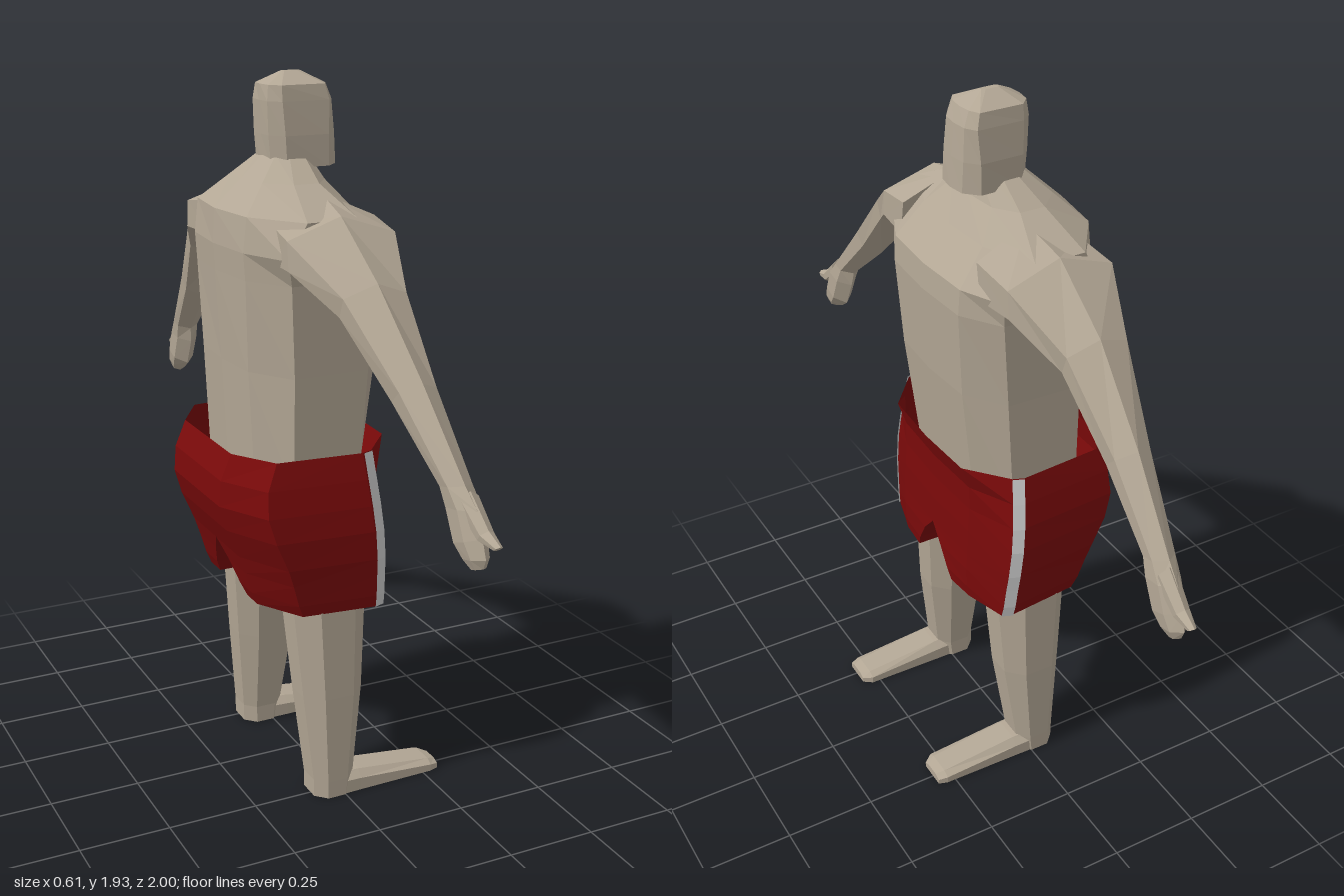
import * as THREE from 'three';

const material = (color) =>
  new THREE.MeshStandardMaterial({ color, flatShading: true, side: THREE.DoubleSide });

// Skins a list of equal-length rings of [x, y, z]; s = -1 mirrors across z.
function loft(name, rings, mat, { closed = true, caps = true, s = 1 } = {}) {
  const n = rings[0].length;
  const pos = rings.flat().flatMap(([x, y, z]) => [x, y, z * s]);
  let tris = [];
  for (let r = 0; r < rings.length - 1; r++) {
    for (let i = 0; i < (closed ? n : n - 1); i++) {
      const a = r * n + i, b = r * n + (i + 1) % n;
      tris.push([a, b, b + n], [a, b + n, a + n]);
    }
  }
  if (closed && caps) {
    const last = (rings.length - 1) * n;
    for (let i = 1; i < n - 1; i++) tris.push([0, i + 1, i], [last, last + i, last + i + 1]);
  }
  // Turn the faces outward by the sign of the enclosed volume about the centre.
  const p = (i) => new THREE.Vector3(pos[3 * i], pos[3 * i + 1], pos[3 * i + 2]);
  const mid = new THREE.Vector3();
  for (let i = 0; i < pos.length / 3; i++) mid.add(p(i));
  mid.multiplyScalar(3 / pos.length);
  if (!closed) mid.set(-0.05, mid.y, 0);
  let volume = 0;
  for (const [a, b, c] of tris) volume += p(a).sub(mid).dot(p(b).sub(mid).cross(p(c).sub(mid)));
  if (volume < 0) tris = tris.map(([a, b, c]) => [a, c, b]);
  const g = new THREE.BufferGeometry();
  g.setAttribute('position', new THREE.Float32BufferAttribute(pos, 3));
  g.setIndex(tris.flat());
  const flat = g.toNonIndexed();
  flat.computeVertexNormals();
  const mesh = new THREE.Mesh(flat, mat);
  mesh.name = name;
  return mesh;
}

// Horizontal ring, symmetric in z, from [x, z] points running front to back.
const symmetricRing = (y, half) => [
  ...half.map(([x, z]) => [x, y, z]),
  ...half.filter(([, z]) => z > 0).reverse().map(([x, z]) => [x, y, -z]),
];

// Horizontal rectangle with cut corners.
const octagon = (y, x0, x1, z0, z1, c) => [
  [x0 + c, y, z0], [x1 - c, y, z0], [x1, y, z0 + c], [x1, y, z1 - c],
  [x1 - c, y, z1], [x0 + c, y, z1], [x0, y, z1 - c], [x0, y, z0 + c],
];

// Six-sided limb section between a top and a bottom point in the zy plane.
function limbRing([zt, yt, zb, yb, x0, x1]) {
  const m = (x0 + x1) / 2;
  const at = (x, t) => [x, yb + (yt - yb) * t, zb + (zt - zb) * t];
  return [at(m, 1), at(x1, 0.72), at(x1, 0.3), at(m, 0), at(x0, 0.3), at(x0, 0.72)];
}

export function createModel() {
  const model = new THREE.Group();
  const skin = material(0xb3a795);
  const red = material(0x7a0a0a);
  const white = material(0xcccccc);

  // Torso rising into the neck
  const torso = [
    [0.90, [[0.12, 0], [0.11, 0.15], [0.05, 0.26], [-0.14, 0.265], [-0.2, 0.15], [-0.21, 0]]],
    [1.20, [[0.155, 0], [0.145, 0.16], [0.07, 0.265], [-0.14, 0.27], [-0.215, 0.15], [-0.225, 0]]],
    [1.44, [[0.17, 0], [0.16, 0.17], [0.09, 0.275], [-0.15, 0.275], [-0.225, 0.16], [-0.24, 0]]],
    [1.51, [[0.165, 0], [0.155, 0.17], [0.1, 0.29], [-0.17, 0.3], [-0.23, 0.16], [-0.245, 0]]],
    [1.60, [[0.09, 0], [0.08, 0.15], [0.02, 0.3], [-0.12, 0.3], [-0.22, 0.16], [-0.24, 0]]],
    [1.67, [[0.035, 0], [0.025, 0.1], [-0.02, 0.16], [-0.09, 0.16], [-0.15, 0.1], [-0.165, 0]]],
    [1.73, [[0.01, 0], [0, 0.05], [-0.02, 0.07], [-0.06, 0.07], [-0.09, 0.05], [-0.1, 0]]],
  ];
  model.add(loft('torso', torso.map(([y, h]) => symmetricRing(y, h)), skin));

  // Head
  const head = [
    [1.70, [[0.087, 0], [0.08, 0.05], [0.045, 0.085], [-0.07, 0.08], [-0.1, 0.045], [-0.103, 0]]],
    [1.78, [[0.082, 0], [0.076, 0.05], [0.045, 0.083], [-0.075, 0.08], [-0.107, 0.045], [-0.108, 0]]],
    [1.865, [[0.075, 0], [0.07, 0.045], [0.05, 0.075], [-0.08, 0.073], [-0.11, 0.045], [-0.112, 0]]],
    [1.905, [[0.06, 0], [0.055, 0.04], [0.04, 0.068], [-0.08, 0.068], [-0.105, 0.04], [-0.11, 0]]],
    [1.935, [[0.0, 0], [0, 0.004], [-0.01, 0.008], [-0.045, 0.008], [-0.05, 0.004], [-0.05, 0]]],
  ];
  model.add(loft('head', head.map(([y, h]) => symmetricRing(y, h)), skin));

  // Sections as [top z, top y, bottom z, bottom y, back x, front x]
  const arm = [
    [0.18, 1.65, 0.22, 1.42, -0.17, 0.12],
    [0.316, 1.614, 0.335, 1.44, -0.185, 0.11],
    [0.504, 1.485, 0.46, 1.37, -0.12, 0.05],
    [0.70, 1.29, 0.62, 1.215, -0.07, 0.03],
    [0.87, 1.094, 0.785, 1.075, -0.035, 0.03],
  ];
  const hand = [
    arm[4],
    [0.915, 1.05, 0.795, 1.03, -0.03, 0.035],
    [0.94, 0.99, 0.835, 0.95, -0.028, 0.035],
    [0.955, 0.945, 0.87, 0.925, -0.02, 0.03],
    [0.945, 0.92, 0.905, 0.908, -0.01, 0.02],
  ];
  const thumb = [
    [0.88, 1.085, 0.86, 1.03, -0.02, 0.03],
    [0.955, 1.015, 0.93, 0.98, -0.01, 0.028],
    [1.0, 0.992, 0.98, 0.976, 0.003, 0.022],
  ];
  const foot = [
    [-0.04, 0.06, 0.185, 0.3], [0.05, 0.055, 0.185, 0.297],
    [0.275, 0.03, 0.187, 0.293], [0.3, 0.022, 0.205, 0.285],
  ].map(([x, h, z0, z1]) => [[x, 0, z0], [x, 0, z1], [x, h * 0.65, z1], [x, h, z1 - 0.02],
    [x, h, z0 + 0.02], [x, h * 0.65, z0]]);
  const leg = [
    octagon(0.68, -0.14, 0.09, 0.09, 0.292, 0.06),
    octagon(0.30, -0.108, 0.067, 0.138, 0.3, 0.045),
    octagon(0.05, -0.084, 0.035, 0.178, 0.302, 0.03),
    octagon(0, -0.083, 0.03, 0.178, 0.302, 0.03),
  ];

  // Shorts rows: height, front x, back x, half width, stripe x, inner z
  const rows = [
    [0.99, 0.168, -0.27, 0.30, 0.04, 0],
    [0.92, 0.145, -0.30, 0.315, 0.046, 0],
    [0.85, 0.145, -0.305, 0.328, 0.053, 0],
    [0.78, 0.15, -0.285, 0.335, 0.06, 0],
    [0.70, 0.153, -0.25, 0.332, 0.067, 0],
    [0.65, 0.155, -0.233, 0.325, 0.07, 0.045],
    [0.59, 0.153, -0.215, 0.318, 0.073, 0.08],
    [0.555, 0.148, -0.20, 0.31, 0.075, 0.095],
  ];
  const shorts = rows.map(([y, f, b, w, st, inner]) => [
    [f, y, inner], [f - 0.008, y, 0.18], [st + 0.03, y, w - 0.012], [st, y, w],
    [b + 0.075, y, w * 0.93], [b, y, 0.16], [b, y, inner],
  ]);
  const stripe = shorts.map((r) => [r[2], r[3]].map(([x, y, z]) => [x + 0.002, y, z + 0.004]));

  // Paired parts, left and right
  for (const s of [1, -1]) {
    const side = s > 0 ? 'A' : 'B';
    model.add(
      loft('arm' + side, arm.map(limbRing), skin, { s }),
      loft('hand' + side, hand.map(limbRing), skin, { s }),
      loft('thumb' + side, thumb.map(limbRing), skin, { s }),
      loft('leg' + side, leg, skin, { s }),
      loft('foot' + side, foot, skin, { s }),
      loft('shortsSeat' + side, shorts.slice(0, 5), red, { s, closed: false }),
      loft('shortsLeg' + side, shorts.slice(4), red, { s, caps: false }),
      loft('shortsStripe' + side, stripe, white, { s, closed: false }),
    );
  }
  return model;
}
